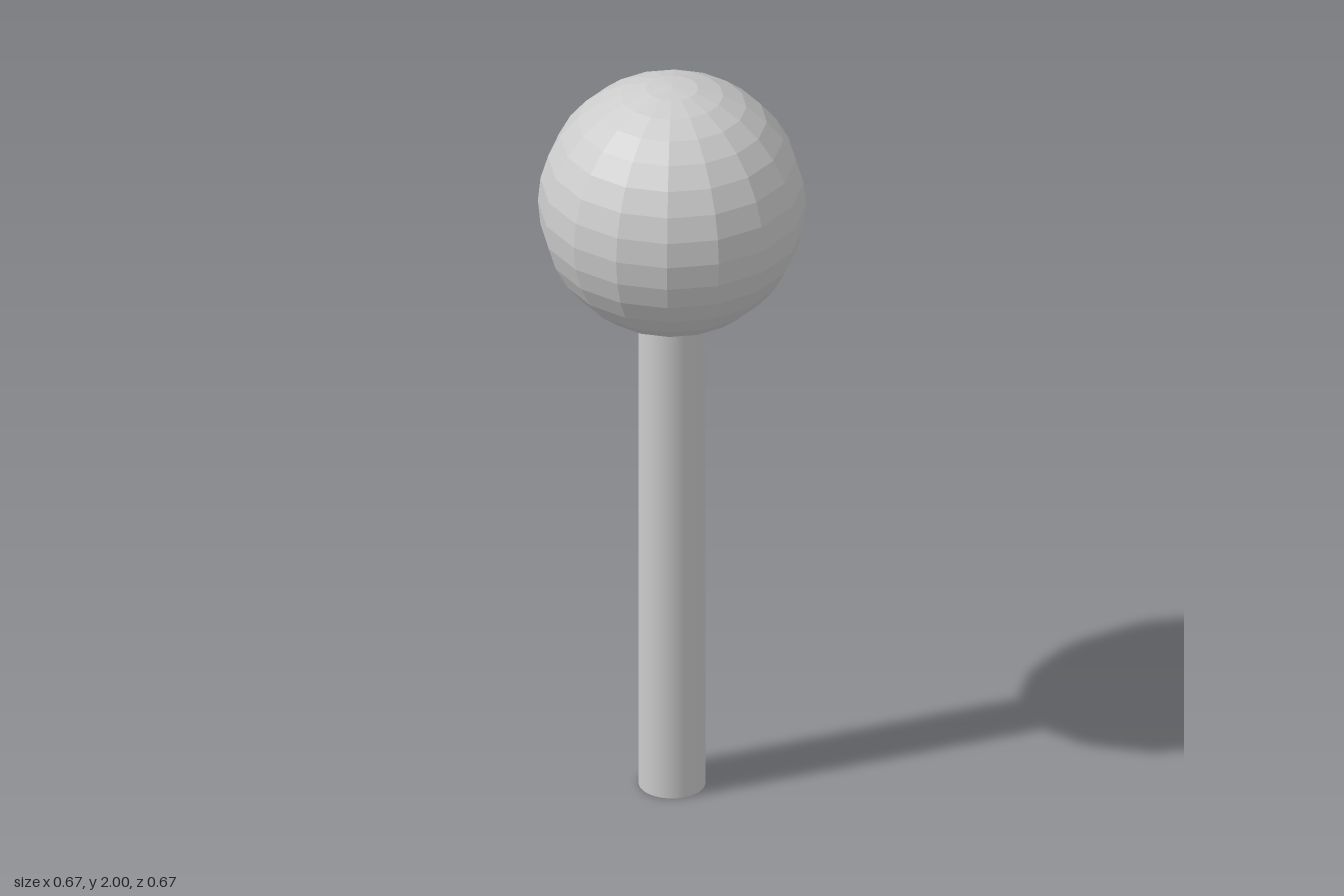
import * as THREE from 'three';

export function createModel() {
  const group = new THREE.Group();
  const radius = 0.337;
  const stemRadius = radius / 4;
  const stemHeight = radius * 4;

  // Faceted ball on top
  const ball = new THREE.Mesh(
    new THREE.SphereGeometry(radius, 16, 16),
    new THREE.MeshStandardMaterial({ color: 0xcccccc, flatShading: true })
  );
  ball.name = 'ball';
  ball.position.y = 2 - radius;

  // Round stem, its top end just inside the ball
  const stem = new THREE.Mesh(
    new THREE.CylinderGeometry(stemRadius, stemRadius, stemHeight, 32),
    new THREE.MeshStandardMaterial({ color: 0xcccccc })
  );
  stem.name = 'stem';
  stem.position.y = stemHeight / 2;

  group.add(ball, stem);
  return group;
}
